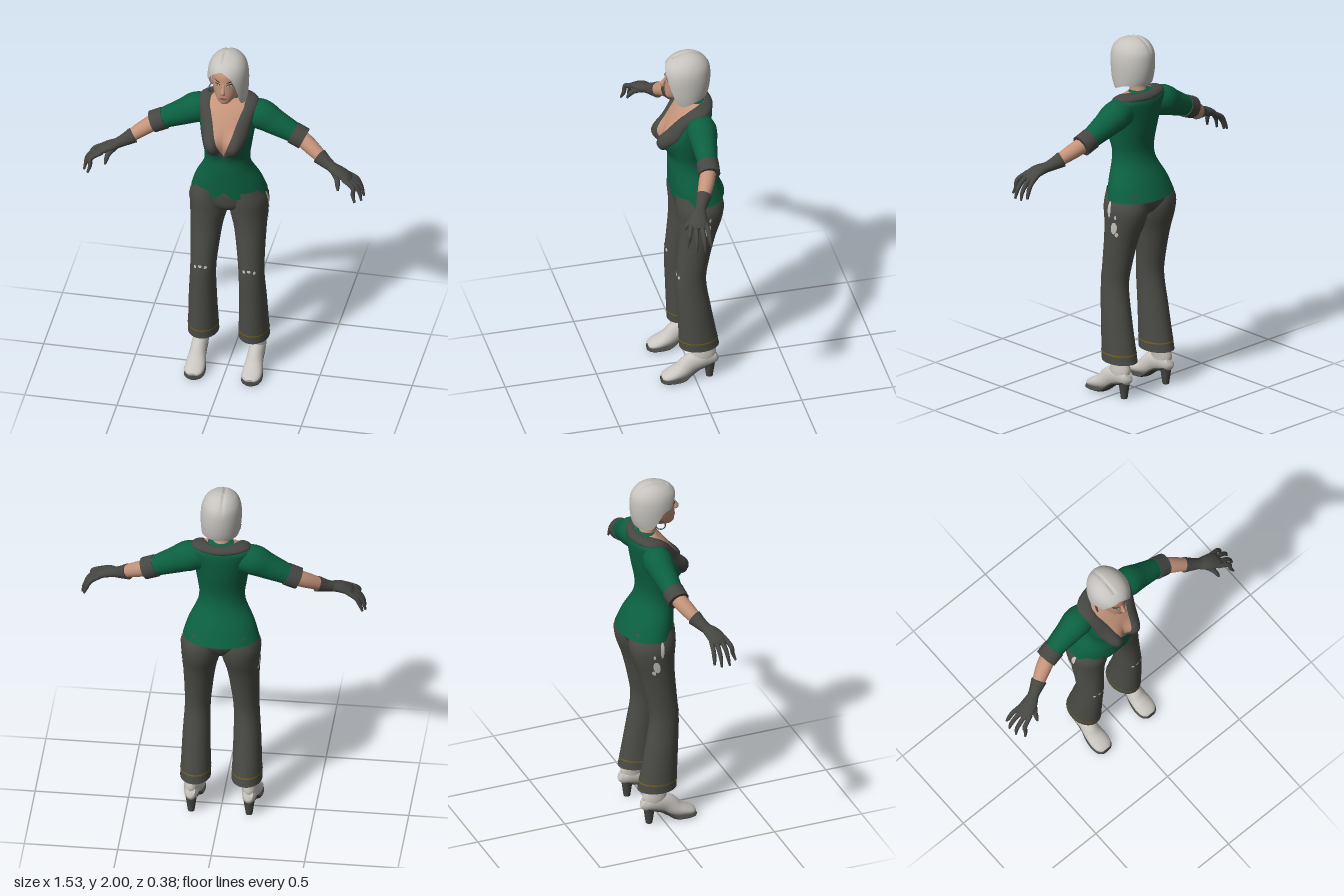
import * as THREE from 'three';
import { toCreasedNormals } from 'three/addons/utils/BufferGeometryUtils.js';

const V = (x, y, z) => new THREE.Vector3(x, y, z);
const mat = (name, color, side = THREE.DoubleSide) => {
  const m = new THREE.MeshStandardMaterial({ color, side });
  m.name = name;
  return m;
};
const M = {
  green: mat('jacket green', 0x0c6041),
  trim: mat('trim grey', 0x464643),
  trouser: mat('trouser charcoal', 0x4b4b46),
  skin: mat('skin', 0xc4937a),
  hair: mat('silver hair', 0xc6c3be),
  boot: mat('boot off-white', 0xc9c5c0),
  lips: mat('lip rose', 0x96584c),
  dark: mat('dark lash', 0x2c2724),
  iris: mat('eye teal', 0x55807a),
  gold: mat('gold thread', 0x7a6412),
};

// Smooth interpolation of table rows keyed by their first column
function sample(rows, k) {
  const n = rows.length;
  k = Math.min(Math.max(k, rows[0][0]), rows[n - 1][0]);
  let i = 0;
  while (i < n - 2 && k > rows[i + 1][0]) i++;
  const slope = (j, c) => {
    const p = rows[Math.max(j - 1, 0)], q = rows[Math.min(j + 1, n - 1)];
    return (q[c] - p[c]) / (q[0] - p[0]);
  };
  const a = rows[i], b = rows[i + 1], h = b[0] - a[0], t = (k - a[0]) / h;
  return a.map((_, c) => c === 0 ? k :
    (2 * t ** 3 - 3 * t * t + 1) * a[c] + (t ** 3 - 2 * t * t + t) * h * slope(i, c) +
    (3 * t * t - 2 * t ** 3) * b[c] + (t ** 3 - t * t) * h * slope(i + 1, c));
}

// Surface mesh from p(u, v), both 0..1
function grid(name, material, p, nu, nv, crease = 0.9) {
  const pos = [], idx = [];
  for (let j = 0; j <= nv; j++) for (let i = 0; i <= nu; i++) pos.push(...p(i / nu, j / nv).toArray());
  for (let j = 0; j < nv; j++) for (let i = 0; i < nu; i++) {
    const a = j * (nu + 1) + i, c = a + nu + 1;
    idx.push(a, a + 1, c, a + 1, c + 1, c);
  }
  let g = new THREE.BufferGeometry();
  g.setAttribute('position', new THREE.Float32BufferAttribute(pos, 3));
  g.setIndex(idx);
  g.scale(100, 100, 100);
  g = toCreasedNormals(g, crease);
  g.scale(0.01, 0.01, 0.01);
  const mesh = new THREE.Mesh(g, material);
  mesh.name = name;
  return mesh;
}

// Upright body from rows [y, cx, rx, zFront, zBack]; angle 0 faces +z
const body = (rows, s = 1) => (a, y) => {
  const [, cx, rx, zf, zb] = sample(rows, y);
  return V(cx * s + Math.max(rx, 0) * Math.sin(a), y, (zf + zb) / 2 + Math.max((zf - zb) / 2, 0) * Math.cos(a));
};
// Point lifted off a body surface
function lift(f, a, y, d) {
  const e = 0.004, p = f(a, y);
  const n = f(a + e * 5, y).sub(f(a - e * 5, y)).cross(f(a, y + e).sub(f(a, y - e))).normalize();
  return p.addScaledVector(n, d);
}
const wrap = (name, m, f, y0, y1, nu = 40, nv = 30, d = 0) =>
  grid(name, m, (u, v) => lift(f, (u * 2 - 1) * Math.PI, y0 + (y1 - y0) * v, d), nu, nv);
// Thin oval painted on a body surface
const spot = (name, m, f, a, y, da, dy, d = 0.002, tilt = 0) => grid(name, m, (u, v) => {
  const t = u * Math.PI * 2, r = 1 - v, ca = Math.cos(t) * r;
  return lift(f, a + da * ca, y + dy * Math.sin(t) * r + tilt * ca, d);
}, 14, 3);

// Capped limb through rows [x, y, z, r1, r2]; r1 lies along ref
function limb(name, m, pts, ref, nu = 18, nv = 18) {
  const rows = pts.map((p, i) => [i, ...p]), last = pts.length - 1;
  const at = t => { const r = sample(rows, t); return V(r[1], r[2], r[3]); };
  return grid(name, m, (u, v) => {
    const k = Math.min(Math.max((v * (nv + 2) - 1) / nv, 0), 1) * last;
    const T = at(Math.min(k + 0.02, last)).sub(at(Math.max(k - 0.02, 0))).normalize();
    const N = ref.clone().addScaledVector(T, -ref.dot(T)).normalize(), B = T.clone().cross(N);
    const r = sample(rows, k), end = v === 0 || v === 1 ? 0 : 1, a = u * Math.PI * 2;
    return at(k).addScaledVector(N, Math.cos(a) * r[4] * end).addScaledVector(B, Math.sin(a) * r[5] * end);
  }, nu, nv + 2);
}

const Z = V(0, 0, 1), Y = V(0, 1, 0);

function addTorso(g) {
  const base = body([
    [1.11, 0, .207, .10, -.195], [1.2, 0, .178, .105, -.155], [1.3, 0, .13, .11, -.102],
    [1.36, 0, .122, .11, -.088], [1.42, 0, .13, .122, -.092], [1.5, 0, .142, .132, -.108],
    [1.58, 0, .155, .108, -.12], [1.64, 0, .168, .068, -.125], [1.67, 0, .165, .04, -.122],
    [1.69, 0, .13, .018, -.11], [1.703, 0, .08, .008, -.09], [1.712, 0, .04, 0, -.07]]);
  const torso = (a, y) => {
    const p = base(a, y);
    if (Math.cos(a) > 0) p.z += .055 * Math.cos(a) ** .5 *
      Math.exp(-(((Math.abs(p.x) - .068) / .045) ** 2) - ((y - 1.485) / .062) ** 2);
    return p;
  };
  // Jacket with a notch at the front hem
  g.add(grid('jacket', M.green, (u, v) => {
    const a = (u * 2 - 1) * Math.PI;
    const y0 = 1.12 + (Math.cos(a) > 0 ? .045 * Math.max(0, 1 - Math.abs(a) / .24) : 0);
    return torso(a, y0 + (1.712 - y0) * v);
  }, 64, 56));
  // Neckline rows: [t, inner angle, inner y, outer angle, outer y]
  const neck = [[0, 0, 1.415, 0, 1.405], [1, .16, 1.46, .6, 1.45], [2, .33, 1.54, .95, 1.52],
    [3, .42, 1.6, 1.0, 1.58], [4, .55, 1.66, 1.05, 1.64], [5, .8, 1.69, 1.25, 1.672],
    [6, 1.5, 1.703, 1.6, 1.677], [7, 2.3, 1.705, 2.3, 1.678], [8, Math.PI, 1.705, Math.PI, 1.672]];
  g.add(grid('chest', M.skin, (u, v) => {
    const r = sample(neck, v * 8);
    return lift(torso, (u * 2 - 1) * r[1], r[2], .003);
  }, 24, 40));
  for (const s of [-1, 1]) g.add(grid('lapel', M.trim, (u, v) => {
    const r = sample(neck, v * 8), w = s > 0 ? u : 1 - u;
    return lift(torso, s * (r[1] + (r[3] - r[1]) * w), r[2] + (r[4] - r[2]) * w, .004 + .011 * Math.sin(w * Math.PI) ** .5);
  }, 10, 48));
  g.add(limb('neck', M.skin, [[0, 1.66, -.04, .05, .055], [0, 1.71, -.025, .043, .045], [0, 1.8, 0, .046, .046]], Z));
}

function addHead(g) {
  const head = body([
    [1.732, 0, .008, .10, .07], [1.74, 0, .03, .117, .03], [1.755, 0, .046, .124, -.01],
    [1.785, 0, .064, .126, -.055], [1.82, 0, .075, .125, -.08], [1.87, 0, .082, .122, -.09],
    [1.92, 0, .08, .112, -.09], [1.96, 0, .055, .07, -.06], [1.975, 0, .01, .01, 0]]);
  g.add(wrap('face', M.skin, head, 1.732, 1.975, 32, 30));
  g.add(limb('nose', M.skin, [[0, 1.868, .116, .006, .007], [0, 1.84, .131, .011, .009],
    [0, 1.822, .14, .014, .014], [0, 1.812, .128, .008, .012]], Z, 12, 10));
  g.add(spot('lips', M.lips, head, 0, 1.779, .3, .008, .004));
  for (const s of [-1, 1]) {
    g.add(spot('eyeLine', M.dark, head, s * .4, 1.861, .2, .009, .002));
    g.add(spot('eyeWhite', M.hair, head, s * .4, 1.859, .165, .0065, .003));
    g.add(spot('iris', M.iris, head, s * .4, 1.859, .07, .0065, .004));
    g.add(spot('eyebrow', M.dark, head, s * .42, 1.882, .22, .003, .003, s * .004));
    const ear = new THREE.Mesh(new THREE.SphereGeometry(1, 14, 10), M.skin);
    ear.name = 'ear';
    ear.scale.set(.011, .03, .018);
    ear.position.set(s * .08, 1.825, .012);
    g.add(ear);
  }
  const hoop = new THREE.Mesh(new THREE.TorusGeometry(.025, .003, 8, 24), M.trim);
  hoop.name = 'earring';
  hoop.position.set(-.087, 1.772, .015);
  hoop.rotation.y = 1.2;
  g.add(hoop);
  // Bob haircut: swept to the left, tucked behind the right ear
  const bob = body([
    [1.715, .006, .098, .10, -.08], [1.76, .006, .104, .122, -.104], [1.82, .005, .109, .132, -.117],
    [1.88, .004, .109, .137, -.12], [1.93, .003, .1, .128, -.113], [1.965, .002, .08, .1, -.09],
    [1.985, .001, .055, .062, -.062], [1.995, 0, .03, .025, -.036], [2.0, 0, 0, -.005, -.006]]);
  const edge = [[-180, 1.75], [-115, 1.755], [-98, 1.79], [-80, 1.85], [-60, 1.86], [-45, 1.9], [-28, 1.925],
    [-10, 1.94], [10, 1.922], [26, 1.885], [38, 1.81], [48, 1.74], [62, 1.718], [85, 1.73], [110, 1.748], [180, 1.75]];
  g.add(grid('hair', M.hair, (u, v) => {
    const a = u * 360 - 180, y0 = sample(edge, a)[1];
    const p = bob(a * Math.PI / 180, y0 + (2 - y0) * Math.sin(v * Math.PI / 2));
    p.y -= .006 * Math.exp(-(((p.x + .012) / .008) ** 2)) * (v > .4 ? 1 : 0);
    return p;
  }, 72, 28));
}

function addArm(g, s) {
  const L = (name, m, pts, nu, nv) => g.add(limb(name, m, pts.map(([x, ...r]) => [x * s, ...r]), Z, nu, nv));
  L('sleeve', M.green, [[.09, 1.605, -.035, .06, .07], [.17, 1.602, -.035, .08, .083],
    [.25, 1.564, -.03, .068, .071], [.365, 1.51, -.022, .052, .054]]);
  L('sleeveCuff', M.trim, [[.348, 1.516, -.022, .06, .061], [.412, 1.488, -.015, .06, .06]], 18, 2);
  L('forearm', M.skin, [[.38, 1.502, -.02, .042, .044], [.45, 1.462, .01, .042, .042], [.54, 1.408, .055, .03, .031]]);
  L('gloveWrist', M.trim, [[.505, 1.424, .038, .042, .044], [.545, 1.404, .058, .034, .034],
    [.585, 1.388, .078, .03, .027], [.62, 1.378, .092, .038, .026]]);
  L('palm', M.trim, [[.575, 1.39, .074, .03, .026], [.62, 1.378, .095, .044, .026],
    [.665, 1.36, .107, .048, .02], [.69, 1.342, .113, .04, .012]]);
  const fingers = [[.07, .055, .745, 1.255], [.094, .092, .757, 1.242], [.119, .14, .752, 1.24], [.144, .185, .725, 1.25]];
  for (const [z0, z1, x, y] of fingers) L('finger', M.trim, [[.655, 1.363, z0, .013, .014],
    [.71, 1.33, (z0 + z1) / 2, .013, .013], [x - .012, 1.288, z0 * .3 + z1 * .7, .011, .011], [x, y, z1, .006, .006]], 10, 12);
  L('thumb', M.trim, [[.595, 1.378, .1, .018, .02], [.62, 1.355, .138, .015, .015],
    [.628, 1.33, .162, .012, .012], [.632, 1.308, .175, .006, .006]], 10, 12);
}

function addLeg(g, s) {
  const leg = body([
    [.2, .1375, .0825, .08, -.135], [.45, .136, .074, .09, -.09], [.62, .131, .069, .096, -.066],
    [.75, .125, .075, .087, -.085], [.9, .117, .088, .077, -.122], [1.0, .107, .104, .08, -.158],
    [1.08, .103, .109, .088, -.17], [1.16, .09, .09, .088, -.15]], s);
  g.add(wrap('trouserLeg', M.trouser, leg, .2, 1.16, 32, 36));
  g.add(wrap('hemStitching', M.gold, leg, .246, .253, 32, 1, .002));
  // Worn patches: [angle, y, angular size, height]
  for (const [a, y, da, dy] of [[1.75, .975, .17, .035], [1.95, .94, .1, .014], [1.45, 1.075, .09, .045],
    [1.8, 1.04, .05, .012], [-.35, .665, .12, .01], [.05, .67, .14, .008], [.45, .662, .1, .01]])
    g.add(spot('wornPatch', M.boot, leg, a * s, y, da, dy, .003));
  // Heeled ankle boot
  const foot = [[.14, -.114, .03, .024], [.125, -.09, .048, .036], [.12, -.04, .052, .043], [.1, .02, .055, .043],
    [.063, .07, .046, .05], [.045, .12, .032, .054], [.034, .16, .021, .046], [.03, .18, .01, .026]];
  const x = .155 * s;
  g.add(limb('bootFoot', M.boot, foot.map(([y, z, ry, rx]) => [x, y, z, ry, rx]), Y, 20, 24));
  g.add(limb('bootShaft', M.boot, [[.15 * s, .27, -.04, .055, .04], [.15 * s, .2, -.045, .06, .04],
    [x, .15, -.048, .068, .041], [x, .11, -.05, .055, .04]], Z));
  const sole = [[.105, -.108, .024], [.088, -.07, .036], [.072, -.02, .038], [.042, .025, .04],
    [.015, .065, .049], [.012, .12, .056], [.012, .165, .048], [.014, .184, .028]];
  g.add(limb('bootSole', M.trim, sole.map(([y, z, rx]) => [x, y, z, .013, rx]), Y, 16, 22));
  const heel = new THREE.Mesh(new THREE.CylinderGeometry(.032, .018, .1, 14), M.trim);
  heel.name = 'bootHeel';
  heel.position.set(x, .05, -.08);
  g.add(heel);
}

export function createModel() {
  const g = new THREE.Group();
  g.name = 'figure';
  addTorso(g);
  addHead(g);
  // Seat of the trousers
  g.add(wrap('trouserSeat', M.trouser, body([[1.0, 0, .06, .02, -.08], [1.04, 0, .15, .07, -.13],
    [1.1, 0, .2, .088, -.168], [1.14, 0, .19, .092, -.165], [1.2, 0, .15, .09, -.12]]), 1.0, 1.2, 36, 14));
  for (const s of [-1, 1]) {
    addArm(g, s);
    addLeg(g, s);
  }
  return g;
}
